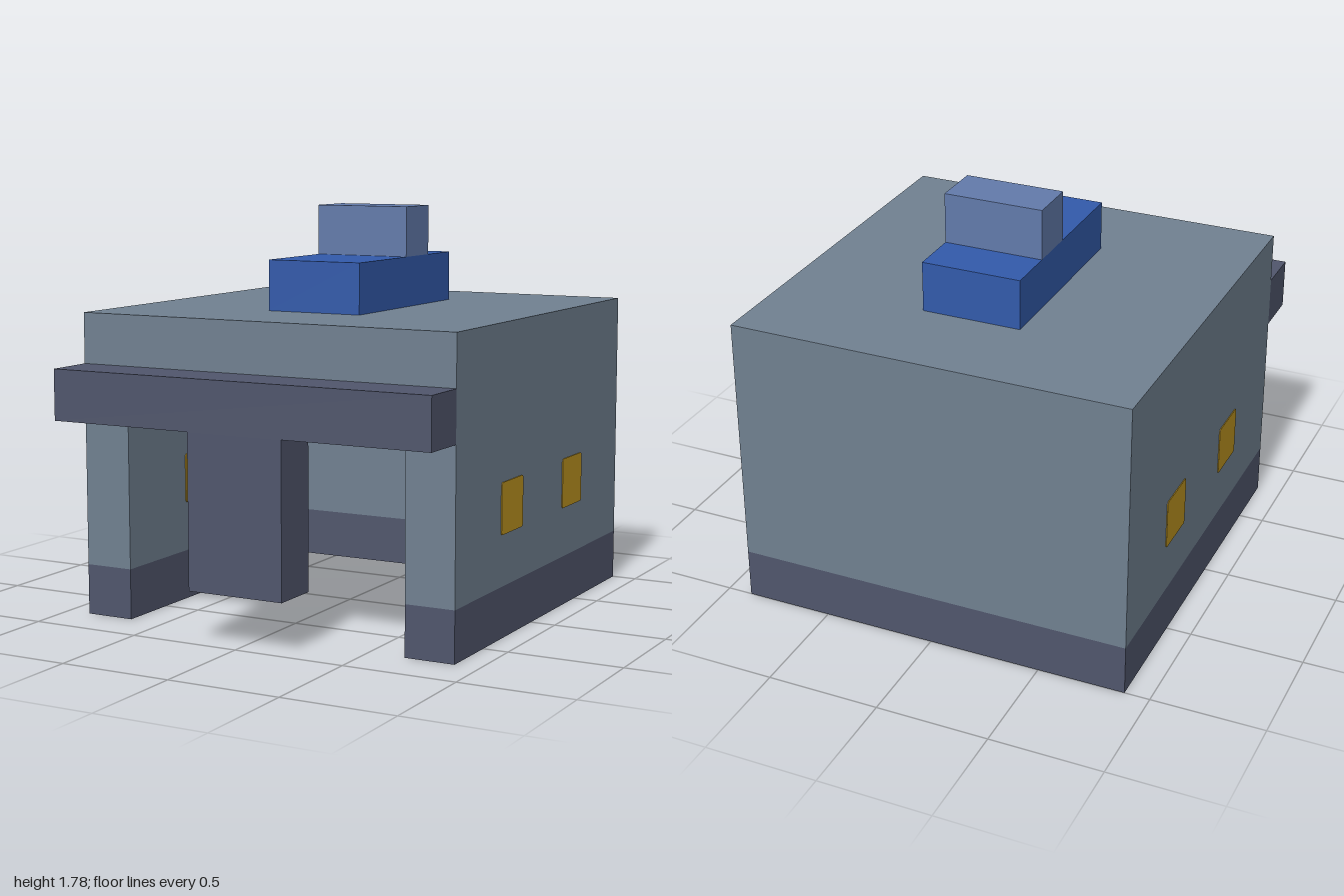
import * as THREE from 'three';

const U = 2 / 9; // one block of the grid

function material(name, color) {
  const m = new THREE.MeshStandardMaterial({ color });
  m.name = name;
  return m;
}

export function createModel() {
  const group = new THREE.Group();
  const grey = material('slate grey', 0x708090);
  const dark = material('dark slate', 0x50566c);
  const blue = material('blue', 0x325aaa);
  const paleBlue = material('pale blue', 0x627aaa);
  const gold = material('gold', 0xbc9320);

  const add = (name, geometry, mat) => {
    const mesh = new THREE.Mesh(geometry, mat);
    mesh.name = name;
    group.add(mesh);
    return mesh;
  };

  // Box between block limits: x is symmetric, y from the ground, z from the back
  const block = (name, mat, halfX, y0, y1, z0, z1) =>
    add(name, new THREE.BoxGeometry(2 * halfX * U, (y1 - y0) * U, (z1 - z0) * U), mat)
      .position.set(0, (y0 + y1) / 2 * U, (z0 + z1) / 2 * U - 1);

  // Walls: a U-shaped plan, open to the front, extruded upwards
  const wall = (name, mat, y0, y1) => {
    const plan = new THREE.Shape([
      [-4, 0], [-4, 8], [-3, 8], [-3, 1], [3, 1], [3, 8], [4, 8], [4, 0],
    ].map(([x, z]) => new THREE.Vector2(x * U, 1 - z * U)));
    const geometry = new THREE.ExtrudeGeometry(plan, { depth: (y1 - y0) * U, bevelEnabled: false });
    geometry.rotateX(-Math.PI / 2);
    add(name, geometry, mat).position.y = y0 * U;
  };
  wall('bottomBand', dark, 0, 1);
  wall('sideAndBackWalls', grey, 1, 5);

  // Roof and the lintel behind the brow
  block('roof', grey, 4, 5, 6, 0, 8);
  block('lintel', grey, 3, 4, 5, 7, 8);

  // T-shaped face guard
  block('browBar', dark, 4, 4, 5, 8, 9);
  block('noseGuard', dark, 1, 1, 4, 8, 9);

  // Crest
  block('crestBase', blue, 1, 6, 7, 2, 6);
  block('crestTop', paleBlue, 1, 7, 8, 3, 4);

  // Gold studs: thin rounded plates on both faces of each side wall
  const h = U / 2, r = 0.012;
  const plate = new THREE.Shape();
  plate.absarc(h - r, h - r, r, 0, Math.PI / 2);
  plate.absarc(r - h, h - r, r, Math.PI / 2, Math.PI);
  plate.absarc(r - h, r - h, r, Math.PI, Math.PI * 1.5);
  plate.absarc(h - r, r - h, r, Math.PI * 1.5, Math.PI * 2);
  const stud = new THREE.ExtrudeGeometry(plate, { depth: 0.008, bevelEnabled: false, curveSegments: 3 });
  stud.translate(0, 0, -0.004).rotateY(Math.PI / 2);
  for (const side of [-1, 1]) {
    for (const z of [2.5, 5.5]) {
      for (const [face, x] of [['inner', 3], ['outer', 4]]) {
        add(face + (side > 0 ? 'Left' : 'Right') + 'Stud', stud, gold)
          .position.set(side * x * U, 2.5 * U, z * U - 1);
      }
    }
  }
  return group;
}
